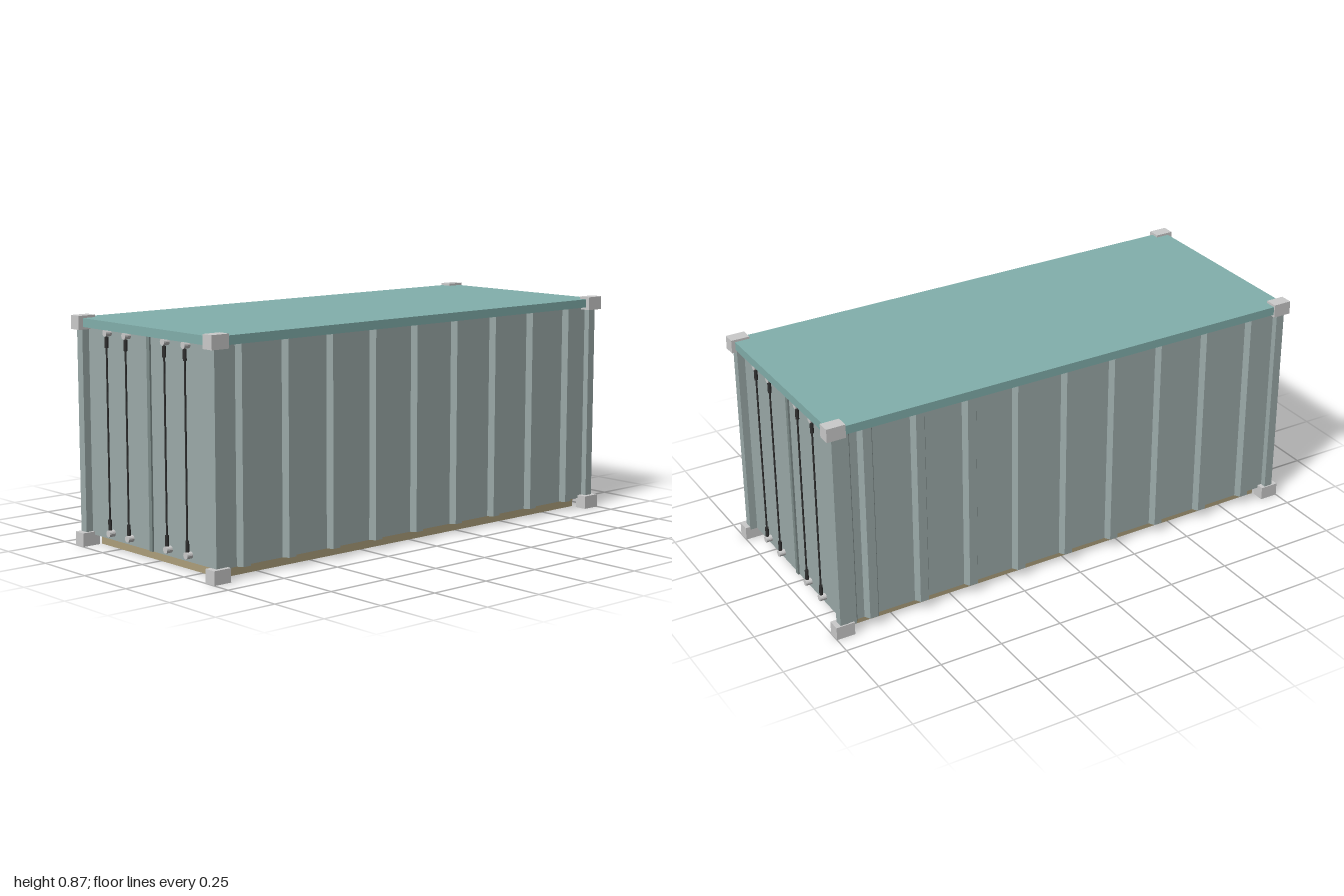
import * as THREE from 'three';

const mat = (color) => new THREE.MeshStandardMaterial({ color, flatShading: true });

export function createModel() {
  const model = new THREE.Group();
  const grey = mat(0xcccccc), teal = mat(0x82b0ac), wall = mat(0x9cabaa);
  const wood = mat(0xad9f7b), dark = mat(0x303030), sealGrey = mat(0x7e8c8a);

  const add = (parent, name, geometry, material, x, y, z) => {
    const mesh = new THREE.Mesh(geometry, material);
    mesh.name = name;
    mesh.position.set(x, y, z);
    parent.add(mesh);
    return mesh;
  };
  const box = (parent, name, material, x0, x1, y0, y1, z0, z1) =>
    add(parent, name, new THREE.BoxGeometry(x1 - x0, y1 - y0, z1 - z0), material,
      (x0 + x1) / 2, (y0 + y1) / 2, (z0 + z1) / 2);

  // Container body, slightly off the centre of the corner castings
  const body = new THREE.Group();
  body.name = 'body';
  body.position.set(-0.006, 0, -0.002);
  model.add(body);

  // Ribbed footprint of one side, from front to back
  const outer = 0.411, inner = 0.389, doorZ = 0.95;
  const side = [[outer, doorZ], [outer, 0.912], [inner, 0.899]];
  for (let i = 0; i < 9; i++) {
    const z = 0.84 - i * 0.21;
    side.push([inner, z + 0.03], [outer, z + 0.017], [outer, z - 0.017], [inner, z - 0.03]);
  }
  side.push([inner, -doorZ]);
  // The other side is the same, turned half round
  const outline = [...side, ...side.map(([x, z]) => [-x, -z])];
  const footprint = new THREE.Shape(outline.map(([x, z]) => new THREE.Vector2(x, -z)));
  const shell = new THREE.ExtrudeGeometry(footprint, { depth: 0.79, bevelEnabled: false });
  shell.rotateX(-Math.PI / 2);
  add(body, 'corrugatedWalls', shell, wall, 0, 0.04, 0);

  box(body, 'roof', teal, -0.413, 0.413, 0.83, 0.863, -0.983, 0.983);
  box(body, 'floor', wood, -0.362, 0.362, 0.002, 0.042, -0.922, 0.922);

  // Doors at both ends: posts, centre seal and four locking bars
  for (const end of [0, 1]) {
    const doors = new THREE.Group();
    doors.name = end ? 'backDoors' : 'frontDoors';
    doors.rotation.y = end * Math.PI;
    body.add(doors);

    box(doors, 'leftPost', wall, 0.379, 0.413, 0.04, 0.83, 0.945, 0.979);
    box(doors, 'rightPost', wall, -0.413, -0.379, 0.04, 0.83, 0.945, 0.979);
    box(doors, 'doorSeal', sealGrey, -0.009, 0.009, 0.04, 0.83, 0.948, 0.957);

    for (const x of [-0.243, -0.124, 0.11, 0.23]) {
      const bar = new THREE.Group();
      bar.name = 'lockingBar';
      bar.position.set(x, 0, 0.966);
      doors.add(bar);
      add(bar, 'rod', new THREE.CylinderGeometry(0.0035, 0.0035, 0.73, 10), dark, 0, 0.442, 0);
      for (const [sleeveY, capY] of [[0.1, 0.067], [0.782, 0.817]]) {
        add(bar, 'sleeve', new THREE.CylinderGeometry(0.007, 0.007, 0.04, 12), dark, 0, sleeveY, 0);
        const cap = new THREE.CylinderGeometry(0.0127, 0.0127, 0.026, 16).rotateX(Math.PI / 2);
        add(bar, 'bracket', cap, grey, 0, capY, -0.004);
      }
    }
  }

  // Corner castings
  for (const x of [-0.399, 0.399])
    for (const y of [0.026, 0.846])
      for (const z of [-0.963, 0.963])
        add(model, 'cornerCasting', new THREE.BoxGeometry(0.05, 0.052, 0.074), grey, x, y, z);

  return model;
}
